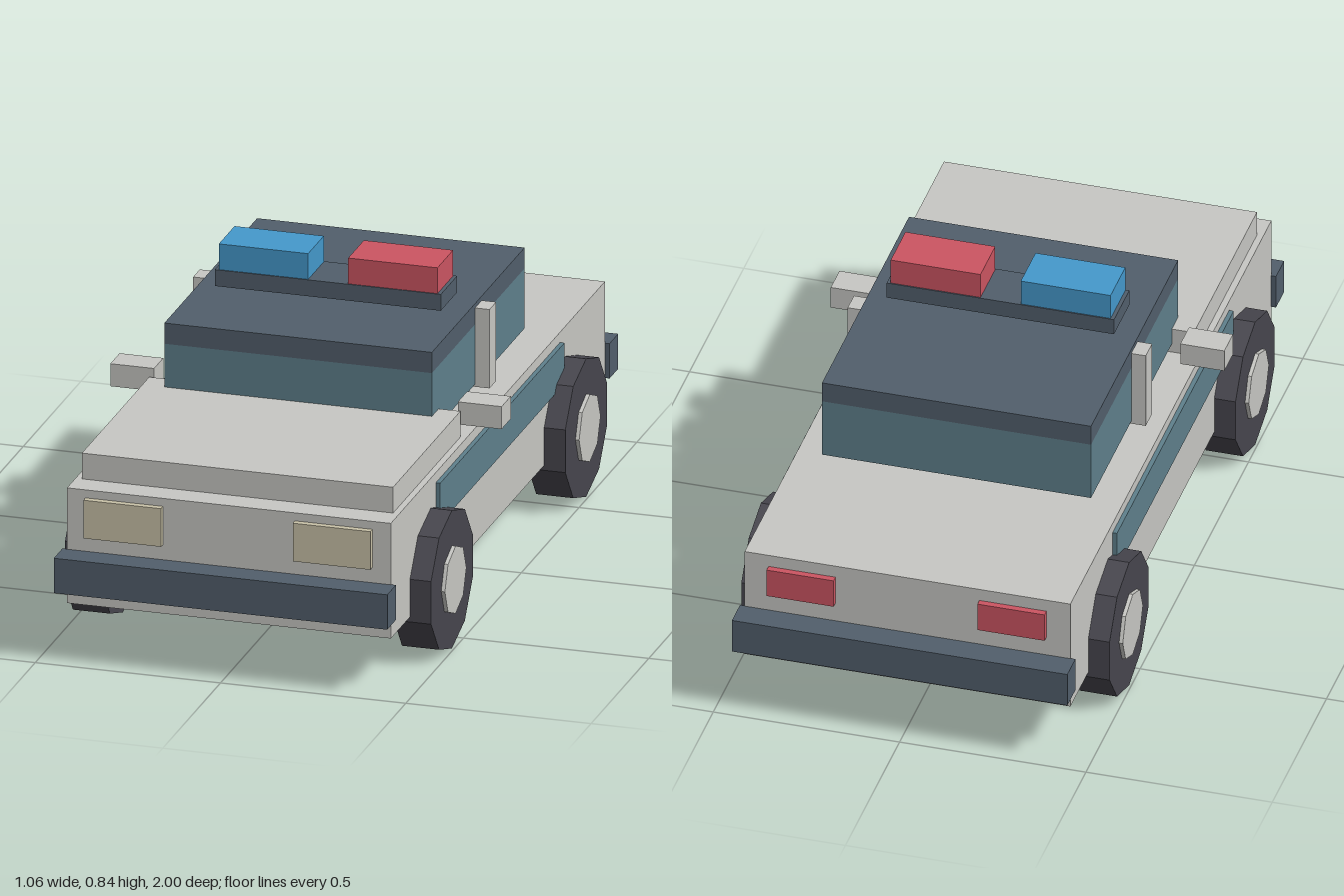
import * as THREE from 'three';

const paint = (name, color) => {
  const m = new THREE.MeshStandardMaterial({ color });
  m.name = name;
  return m;
};

export function createModel() {
  const car = new THREE.Group();
  car.name = 'patrolCar';

  const white = paint('bodyWhite', 0xc8c8c4);
  const slate = paint('slateTrim', 0x525f6c);
  const teal = paint('tealGlass', 0x5f808c);
  const red = paint('signalRed', 0xcc5562);
  const blue = paint('signalBlue', 0x4599cc);
  const cream = paint('headlightCream', 0xc9c2a8);
  const rubber = paint('tyreRubber', 0x47464e);

  // Box given by its limits on each axis
  const box = (name, mat, [x0, x1], [y0, y1], [z0, z1]) => {
    const mesh = new THREE.Mesh(new THREE.BoxGeometry(x1 - x0, y1 - y0, z1 - z0), mat);
    mesh.position.set((x0 + x1) / 2, (y0 + y1) / 2, (z0 + z1) / 2);
    mesh.name = name;
    car.add(mesh);
  };
  // Same box on the left (+x) and right (-x)
  const pair = (name, mat, [x0, x1], y, z) => {
    box(name + 'Left', mat, [x0, x1], y, z);
    box(name + 'Right', mat, [-x1, -x0], y, z);
  };

  // Body, hood and cabin
  box('body', white, [-0.437, 0.437], [0.145, 0.462], [-0.927, 0.927]);
  box('hood', white, [-0.42, 0.42], [0.462, 0.533], [0.27, 0.853]);
  box('cabinGlass', teal, [-0.361, 0.361], [0.487, 0.652], [-0.475, 0.328]);
  box('roof', slate, [-0.361, 0.361], [0.652, 0.709], [-0.475, 0.328]);

  // Bumpers
  box('frontBumper', slate, [-0.45, 0.45], [0.197, 0.293], [0.925, 1]);
  box('rearBumper', slate, [-0.45, 0.45], [0.197, 0.293], [-1, -0.925]);

  // Side details
  pair('sideStripe', teal, [0.43, 0.449], [0.322, 0.434], [-0.538, 0.538]);
  pair('doorPillar', white, [0.355, 0.4], [0.48, 0.697], [-0.104, -0.046]);
  pair('sideMirror', white, [0.41, 0.528], [0.492, 0.554], [0.18, 0.26]);

  // Lamps
  pair('headlight', cream, [0.178, 0.387], [0.335, 0.44], [0.92, 0.945]);
  pair('tailLight', red, [0.193, 0.373], [0.348, 0.428], [-0.945, -0.92]);

  // Roof light bar
  box('lightBar', slate, [-0.305, 0.305], [0.725, 0.77], [-0.071, 0.071]);
  box('redBeacon', red, [0.054, 0.295], [0.77, 0.841], [-0.068, 0.068]);
  box('blueBeacon', blue, [-0.295, -0.054], [0.77, 0.841], [-0.068, 0.068]);

  // Wheels: flat-sided drums with a corner pointing up, axle along x
  const drum = (radius, width, sides) =>
    new THREE.CylinderGeometry(radius, radius, width, sides).toNonIndexed()
      .rotateY(Math.PI / 2).rotateZ(Math.PI / 2);
  const flat = (geometry) => {
    geometry.computeVertexNormals();
    return geometry;
  };
  const tyreGeo = flat(drum(0.19, 0.1, 10));
  const hubGeo = flat(drum(0.093, 0.12, 8));
  for (const [end, z] of [['front', 0.581], ['rear', -0.581]]) {
    for (const [side, s] of [['Left', 1], ['Right', -1]]) {
      const wheel = new THREE.Group();
      wheel.name = end + side + 'Wheel';
      const tyre = new THREE.Mesh(tyreGeo, rubber);
      tyre.name = 'tyre';
      const hub = new THREE.Mesh(hubGeo, white);
      hub.name = 'hub';
      wheel.add(tyre, hub);
      wheel.position.set(s * 0.444, 0.19, z);
      car.add(wheel);
    }
  }
  return car;
}
